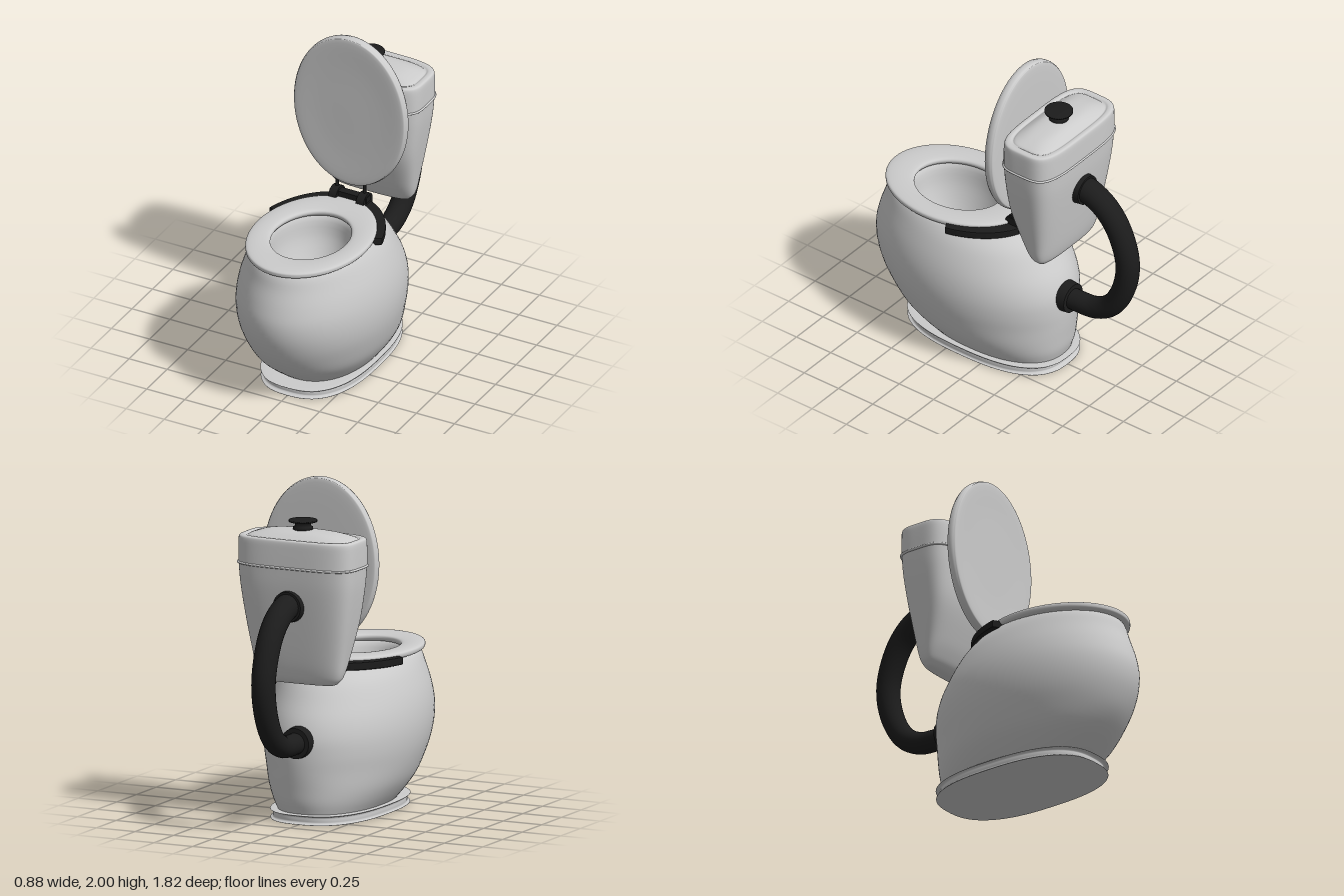
import * as THREE from 'three';

const grey = new THREE.MeshStandardMaterial({ color: 0xcccccc, side: THREE.DoubleSide });
const black = new THREE.MeshStandardMaterial({ color: 0x1c1c1c, side: THREE.DoubleSide });

// Smooth loft through horizontal rings. Each key is [y, rx, rz, cz, e], e = superellipse exponent.
function loft(keys, sub = 4, seg = 80) {
  const size = new THREE.CatmullRomCurve3(keys.map(k => new THREE.Vector3(k[0], k[1], k[2])), false, 'catmullrom');
  const place = new THREE.CatmullRomCurve3(keys.map(k => new THREE.Vector3(k[3], k[4] ?? 2, 0)), false, 'catmullrom');
  const rows = (keys.length - 1) * sub, pos = [], index = [];
  for (let i = 0; i <= rows; i++) {
    const a = size.getPoint(i / rows), b = place.getPoint(i / rows);
    for (let j = 0; j < seg; j++) {
      const t = j / seg * Math.PI * 2, c = Math.cos(t), s = Math.sin(t);
      const r = (Math.abs(c) ** b.y + Math.abs(s) ** b.y) ** (-1 / b.y);
      pos.push(c * r * Math.max(a.y, 0), a.x, b.x + s * r * Math.max(a.z, 0));
      if (i < rows) {
        const n = (j + 1) % seg, p = i * seg + j, q = i * seg + n;
        index.push(p, p + seg, q, q, p + seg, q + seg);
      }
    }
  }
  const g = new THREE.BufferGeometry();
  g.setAttribute('position', new THREE.Float32BufferAttribute(pos, 3));
  g.setIndex(index);
  g.computeVertexNormals();
  return g;
}

export function createModel() {
  const model = new THREE.Group();
  const add = (name, geometry, material, x = 0, y = 0, z = 0) => {
    const m = new THREE.Mesh(geometry, material);
    m.name = name;
    m.position.set(x, y, z);
    model.add(m);
    return m;
  };

  // Foot slab
  add('base', loft([
    [0, 0, 0, 0.14, 2.6], [0, 0.29, 0.505, 0.14, 2.6], [0.012, 0.303, 0.518, 0.14, 2.6],
    [0.045, 0.303, 0.518, 0.14, 2.6], [0.058, 0.293, 0.508, 0.14, 2.6], [0.06, 0, 0, 0.14, 2.6],
  ]), grey);

  // Bowl: outer belly, over the rim, then down the inside
  add('bowl', loft([
    [0.05, 0.28, 0.465, 0.1, 2.3], [0.12, 0.33, 0.52, 0.135, 2.2], [0.2, 0.375, 0.57, 0.175, 2.1],
    [0.3, 0.41, 0.615, 0.21], [0.4, 0.433, 0.643, 0.234], [0.5, 0.442, 0.655, 0.253],
    [0.6, 0.436, 0.641, 0.273], [0.7, 0.415, 0.6, 0.292], [0.8, 0.38, 0.548, 0.31],
    [0.87, 0.345, 0.497, 0.34], [0.895, 0.32, 0.465, 0.35], [0.9, 0.27, 0.36, 0.385],
    [0.88, 0.235, 0.295, 0.39], [0.75, 0.215, 0.265, 0.39], [0.6, 0.165, 0.2, 0.4],
    [0.46, 0.09, 0.11, 0.41], [0.42, 0, 0, 0.41],
  ]), grey);

  // Seat ring
  add('seat', loft([
    [0.895, 0.23, 0.29, 0.392], [0.893, 0.3, 0.4, 0.388], [0.897, 0.342, 0.458, 0.388],
    [0.915, 0.352, 0.468, 0.388], [0.932, 0.342, 0.458, 0.388], [0.938, 0.29, 0.385, 0.39],
    [0.932, 0.235, 0.295, 0.392], [0.915, 0.221, 0.28, 0.392], [0.895, 0.23, 0.29, 0.392],
  ]), grey);

  // Upright seat cover, lofted flat and then stood up
  add('seatCover', loft([
    [-0.033, 0, 0, -1.51], [-0.033, 0.2, 0.27, -1.51], [-0.031, 0.34, 0.46, -1.51],
    [-0.02, 0.364, 0.485, -1.51], [0, 0.37, 0.49, -1.51], [0.02, 0.364, 0.485, -1.51],
    [0.031, 0.34, 0.46, -1.51], [0.027, 0.2, 0.27, -1.51], [0.027, 0, 0, -1.51],
  ]).rotateX(Math.PI / 2), grey, 0, 0, -0.1);

  // Crescent bracket behind the seat
  const crescent = new THREE.Shape();
  const start = -0.33, end = -Math.PI - start, steps = 40;
  for (let i = 0; i <= steps; i++) {
    const t = start + (end - start) * i / steps;
    crescent[i ? 'lineTo' : 'moveTo'](0.385 * Math.cos(t), 0.38 + 0.53 * Math.sin(t));
  }
  for (let i = steps; i >= 0; i--) {
    const t = start + (end - start) * i / steps;
    crescent.lineTo(0.325 * Math.cos(t), 0.38 + 0.43 * Math.sin(t));
  }
  const bracket = new THREE.ExtrudeGeometry(crescent, {
    depth: 0.03, bevelSize: 0.005, bevelThickness: 0.008, bevelSegments: 2,
  });
  add('hingeBracket', bracket.rotateX(Math.PI / 2), black, 0, 0.908, 0);

  // Hinges
  for (const x of [-0.09, 0.09]) {
    add('hingeKnuckle', new THREE.CylinderGeometry(0.058, 0.058, 0.05, 24).rotateZ(Math.PI / 2), black, x, 0.926, -0.09);
    add('hingeRod', new THREE.CylinderGeometry(0.01, 0.01, 0.12, 12), black, x, 1.0, -0.095);
  }
  add('hingeBar', new THREE.BoxGeometry(0.24, 0.035, 0.05), black, 0, 0.95, -0.085);

  // Cistern body, tapering to a rounded bottom
  add('tank', loft([
    [0.83, 0, 0, -0.373, 3], [0.833, 0.2, 0.03, -0.373, 3], [0.855, 0.25, 0.057, -0.37, 3],
    [0.9, 0.275, 0.08, -0.364, 3.2], [1.0, 0.296, 0.112, -0.352, 3.5], [1.2, 0.332, 0.158, -0.335, 4],
    [1.4, 0.361, 0.182, -0.336, 4], [1.54, 0.372, 0.19, -0.337, 4],
  ], 5), grey);

  // Seam bead
  add('tankSeam', loft([
    [1.522, 0.37, 0.188, -0.337, 4], [1.526, 0.379, 0.196, -0.337, 4],
    [1.534, 0.379, 0.196, -0.337, 4], [1.538, 0.37, 0.188, -0.337, 4],
  ]), grey);

  // Cistern lid with a rim, shallow groove and domed top
  add('tankLid', loft([
    [1.535, 0.373, 0.191, -0.337, 4], [1.62, 0.373, 0.19, -0.337, 4], [1.675, 0.371, 0.187, -0.338, 4],
    [1.691, 0.362, 0.179, -0.338, 4], [1.693, 0.34, 0.16, -0.338, 4], [1.686, 0.325, 0.146, -0.338, 4],
    [1.697, 0.308, 0.13, -0.338, 4], [1.72, 0.22, 0.09, -0.338, 3], [1.73, 0.1, 0.05, -0.338, 2.3],
    [1.732, 0, 0, -0.338, 2],
  ]), grey);

  // Flush button
  const knob = [[0, 1.72], [0.058, 1.72], [0.058, 1.745], [0.046, 1.75], [0.046, 1.774], [0.083, 1.776], [0.083, 1.786], [0, 1.787]];
  const knobPoints = knob.map(p => new THREE.Vector2(...p));
  add('flushButton', new THREE.LatheGeometry(knobPoints, 40), black, 0, 0, -0.335);

  // Curved flush pipe, slightly thicker at the tank end
  const path = new THREE.CatmullRomCurve3([
    [1.31, -0.5], [1.3, -0.57], [1.24, -0.68], [1.12, -0.775], [0.91, -0.838],
    [0.71, -0.805], [0.56, -0.715], [0.495, -0.6], [0.485, -0.5], [0.485, -0.39],
  ].map(([y, z]) => new THREE.Vector3(0, y, z)));
  const rings = 40, around = 24;
  const pipe = new THREE.TubeGeometry(path, rings, 0.068, around);
  const p = pipe.attributes.position, v = new THREE.Vector3();
  for (let i = 0; i < p.count; i++) {
    const u = Math.floor(i / (around + 1)) / rings, c = path.getPointAt(u);
    v.fromBufferAttribute(p, i).sub(c).multiplyScalar(1.13 - 0.2 * u).add(c);
    p.setXYZ(i, v.x, v.y, v.z);
  }
  add('flushPipe', pipe, black);

  // Pipe collars
  for (const [y, z, depth] of [[1.305, -0.52, 0.05], [0.485, -0.41, 0.06]]) {
    add('pipeCollar', new THREE.CylinderGeometry(0.095, 0.09, depth, 32).rotateX(Math.PI / 2), black, 0, y, z);
  }
  return model;
}
